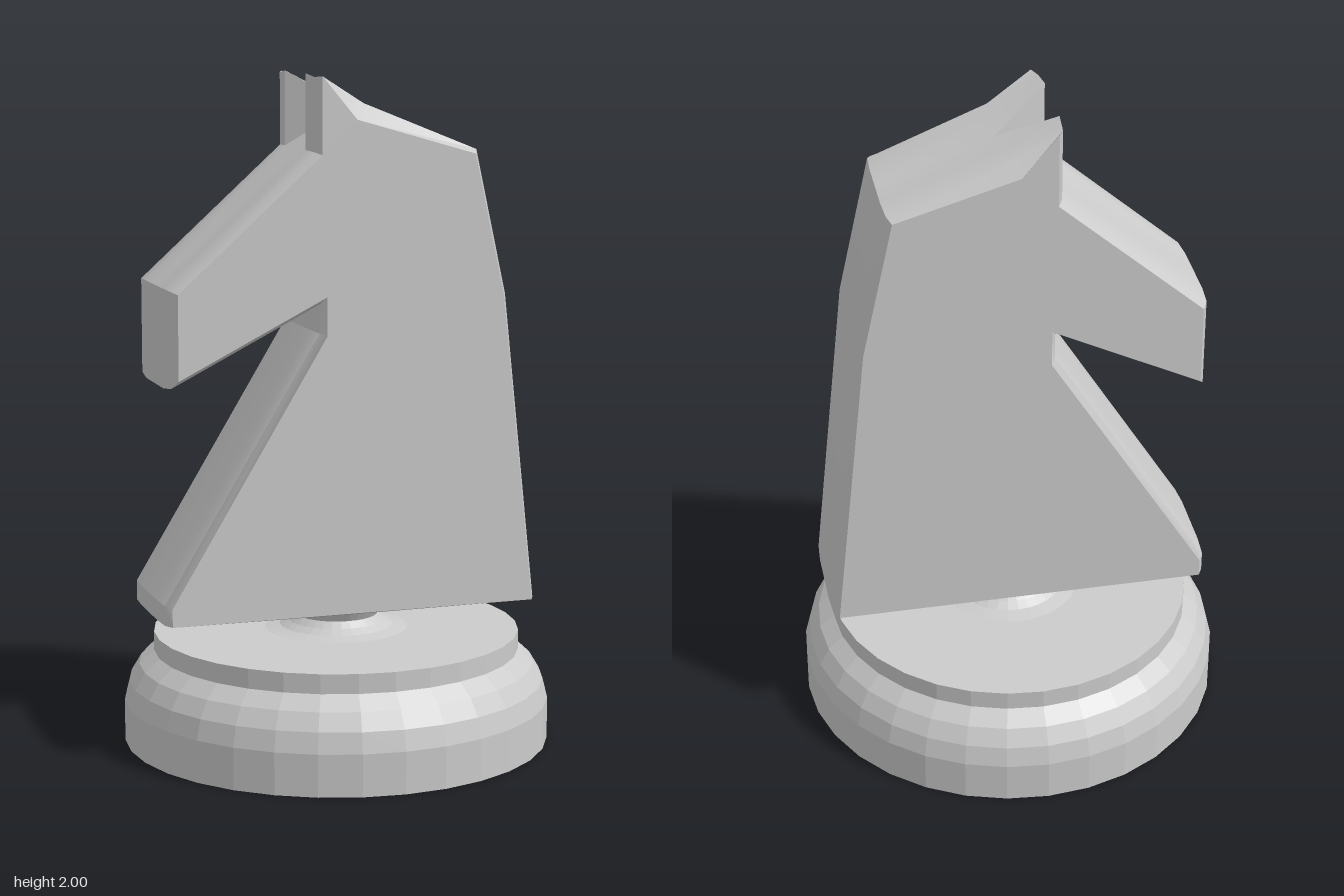
import * as THREE from 'three';
import { toCreasedNormals } from 'three/addons/utils/BufferGeometryUtils.js';
import { ConvexGeometry } from 'three/addons/geometries/ConvexGeometry.js';

const BOTTOM = 0.42;

// Side outline of the horse, counter-clockwise; indices 4-6 are poll, ear tip, ear base
const OUTLINE = [
  [-0.58, BOTTOM], [0.575, BOTTOM], [0.475, 1.35], [0.38, 1.78],
  [0.03, 1.92], [-0.125, 2.0], [-0.125, 1.78],
  [-0.555, 1.395], [-0.555, 1.105], [-0.11, 1.33], [-0.11, 1.255], [-0.58, 0.48],
].map(([x, y]) => new THREE.Vector2(x, y));

// Shrink the outline inwards, keeping the foot flat
function insetOutline(points, amount) {
  const n = points.length;
  const normal = (a, b) => new THREE.Vector2(b.y - a.y, a.x - b.x).normalize();
  return points.map((p, i) => {
    const n1 = normal(points[(i + n - 1) % n], p);
    const n2 = normal(p, points[(i + 1) % n]);
    const miter = n1.clone().add(n2).divideScalar(1 + n1.dot(n2));
    const q = p.clone().addScaledVector(miter, -amount);
    if (i < 2) q.set(p.x - Math.sign(p.x) * amount, BOTTOM);
    return q;
  });
}

// Cross-section of the horse at depth z
function slice(z) {
  const d = Math.abs(z);
  const pts = insetOutline(OUTLINE, d > 0.18 ? 0.02 : d > 0.12 ? 0.005 : 0);
  if (d === 0) [4, 5, 6].forEach((i) => pts[i].set(0.04, 1.9)); // notch between ears
  if (d > 0.18) { // chamfered side of the crown
    pts[4].set(0, 1.87);
    pts[5].set(-0.105, 1.995);
  }
  return pts.map((p) => new THREE.Vector3(p.x, p.y, z));
}

function horseGeometry() {
  const slices = [-0.2, -0.17, -0.1, 0, 0.1, 0.17, 0.2].map(slice);
  const n = OUTLINE.length;
  const positions = [];
  const tri = (a, b, c) => {
    if (new THREE.Triangle(a, b, c).getArea() < 1e-7) return;
    [a, b, c].forEach((v) => positions.push(v.x, v.y, v.z));
  };
  // Rim between neighbouring slices, leaving out the underside
  for (let k = 0; k < slices.length - 1; k++) {
    for (let i = 1; i < n; i++) {
      const j = (i + 1) % n;
      const s = slices[k], t = slices[k + 1];
      tri(s[i], s[j], t[j]);
      tri(s[i], t[j], t[i]);
    }
  }
  // Flat sides
  const back = slices[0], front = slices[slices.length - 1];
  const flat = front.map((v) => new THREE.Vector2(v.x, v.y));
  for (const [a, b, c] of THREE.ShapeUtils.triangulateShape(flat, [])) {
    tri(front[a], front[b], front[c]);
    tri(back[c], back[b], back[a]);
  }
  const geometry = new THREE.BufferGeometry();
  geometry.setAttribute('position', new THREE.Float32BufferAttribute(positions, 3));
  return toCreasedNormals(geometry, 0.5);
}

// Shallow underside, blending the rectangular foot into the round neck
function undersideGeometry() {
  const points = [];
  for (const x of [-0.56, 0.555]) {
    for (const z of [-0.2, 0.2]) points.push(new THREE.Vector3(x, BOTTOM, z));
  }
  for (let i = 0; i < 32; i++) {
    const a = (i / 32) * Math.PI * 2;
    points.push(new THREE.Vector3(Math.sin(a) * 0.14, 0.402, Math.cos(a) * 0.14));
  }
  return new ConvexGeometry(points);
}

export function createModel() {
  const group = new THREE.Group();
  const smooth = new THREE.MeshStandardMaterial({ color: 0xcccccc });
  const faceted = new THREE.MeshStandardMaterial({ color: 0xcccccc, flatShading: true });
  const add = (name, geometry, material) => {
    const mesh = new THREE.Mesh(geometry, material);
    mesh.name = name;
    group.add(mesh);
  };
  const lathe = (profile) =>
    new THREE.LatheGeometry(profile.map(([r, y]) => new THREE.Vector2(r, y)), 32);

  // Round foot with a curved shoulder and raised disc
  add('base', lathe([
    [0, 0], [0.64, 0], [0.64, 0.125], [0.625, 0.185], [0.595, 0.235],
    [0.55, 0.275], [0.55, 0.333], [0, 0.338],
  ]), faceted);

  // Thin waisted neck between base and horse
  add('baseNeck', lathe([
    [0.22, 0.335], [0.17, 0.345], [0.145, 0.36], [0.125, 0.378], [0.14, 0.405],
  ]), faceted);

  add('horseUnderside', undersideGeometry(), faceted);
  add('horseHead', horseGeometry(), smooth);
  return group;
}
